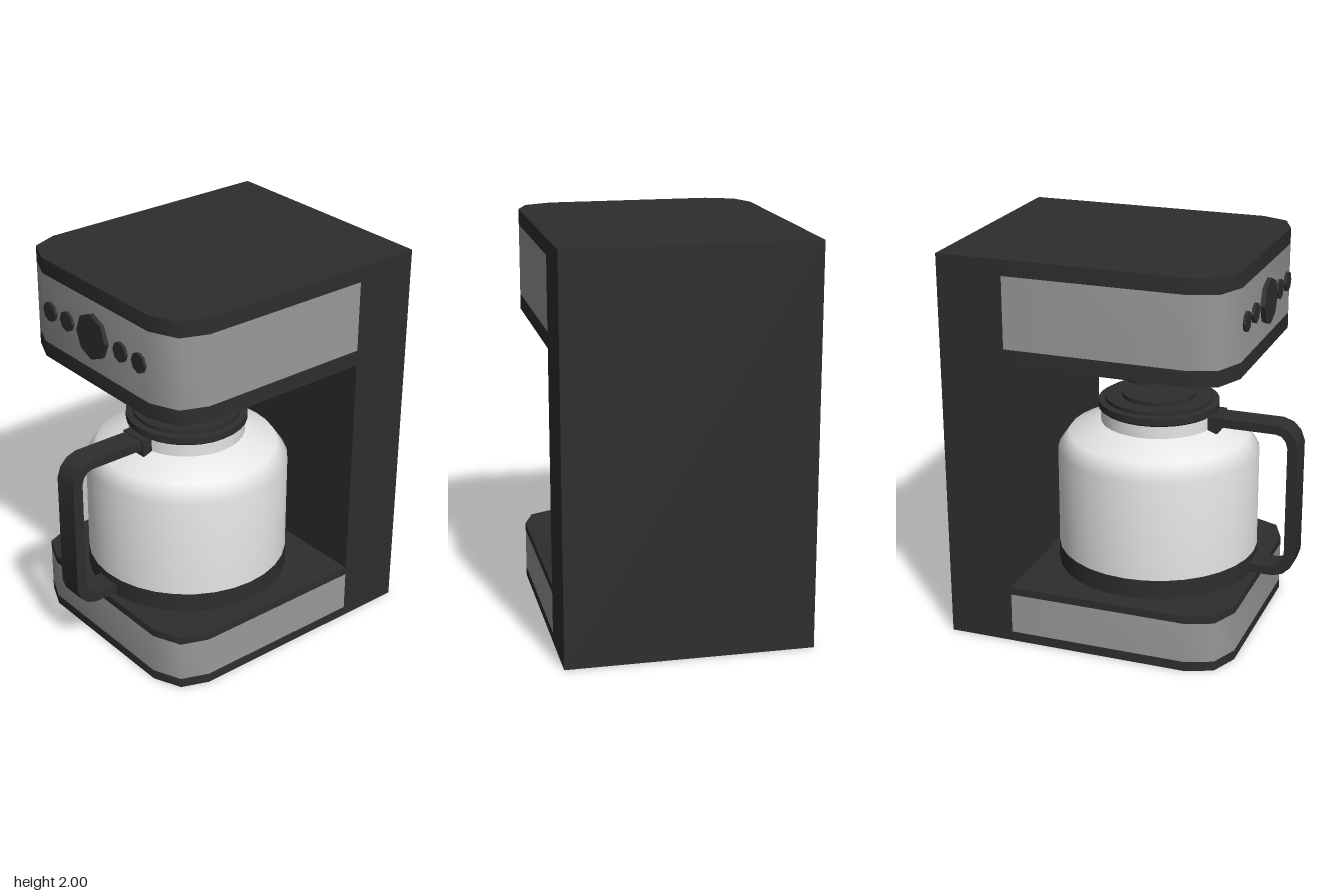
import * as THREE from 'three';
import { toCreasedNormals } from 'three/addons/utils/BufferGeometryUtils.js';

const material = (name, color) => {
  const m = new THREE.MeshStandardMaterial({ color });
  m.name = name;
  return m;
};

export function createModel() {
  const dark = material('black plastic', 0x2e2e2e);
  const steel = material('grey panel', 0x999999);
  const pot = material('white pot', 0xe6e6e6);
  const model = new THREE.Group();
  model.name = 'coffeeMaker';

  const add = (name, geometry, mat, x = 0, y = 0, z = 0, parent = model) => {
    const mesh = new THREE.Mesh(geometry, mat);
    mesh.name = name;
    mesh.position.set(x, y, z);
    parent.add(mesh);
    return mesh;
  };
  const toShape = (pts) => new THREE.Shape(pts.map(([a, b]) => new THREE.Vector2(a, b)));
  const lathe = (pts) => new THREE.LatheGeometry(pts.map(([r, y]) => new THREE.Vector2(r, y)), 32);

  // Rear column holding the head and base
  add('column', new THREE.BoxGeometry(1.23, 2, 0.335), dark, 0, 1, -0.6575);

  // Head and base: stacked layers sharing one footprint with softened front corners
  const side = [[0.615, 0.49], [0.615, -0.43], [0.562, -0.565], [0.42, -0.627]];
  const footprint = toShape([...side, ...side.map(([x, y]) => [-x, y]).reverse()]);
  const layer = (name, y0, y1, mat) => {
    const g = new THREE.ExtrudeGeometry(footprint, { depth: y1 - y0, bevelEnabled: false });
    g.rotateX(-Math.PI / 2);
    add(name, toCreasedNormals(g, 0.9), mat, 0, y0, 0);
  };
  layer('baseBottom', 0, 0.05, dark);
  layer('basePanel', 0.05, 0.26, steel);
  layer('baseTop', 0.26, 0.3, dark);
  layer('headBottom', 1.48, 1.56, dark);
  layer('headPanel', 1.56, 1.92, steel);
  layer('headTop', 1.92, 2, dark);

  // Octagonal dial and push buttons
  const knob = (name, radius, depth, x) => {
    const g = new THREE.CylinderGeometry(radius, radius, depth, 8);
    g.rotateX(Math.PI / 2);
    add(name, toCreasedNormals(g, 0.5), dark, x, 1.742, 0.625 + depth / 2);
  };
  knob('dial', 0.115, 0.025, 0);
  for (const x of [-0.355, -0.213, 0.213, 0.355]) knob('button', 0.051, 0.016, x);

  // Filter holder and drip spout under the head
  add('filterHolder', new THREE.CylinderGeometry(0.387, 0.387, 0.08, 32), dark, 0, 1.44, 0.015);
  add('dripSpout', new THREE.CylinderGeometry(0.104, 0.104, 0.13, 24), dark, 0, 1.335, 0.015);

  // Carafe
  const carafe = new THREE.Group();
  carafe.name = 'carafe';
  carafe.position.z = 0.08;
  model.add(carafe);
  add('carafeFoot', new THREE.CylinderGeometry(0.516, 0.516, 0.1, 32), dark, 0, 0.35, 0, carafe);
  add('carafeBody', lathe([[0.514, 0.4], [0.514, 0.92], [0.458, 1.003], [0.3, 1.065], [0.288, 1.068]]),
    pot, 0, 0, 0, carafe);
  add('carafeNeck', new THREE.CylinderGeometry(0.295, 0.295, 0.07, 32, 1, true), pot, 0, 1.1, 0, carafe);

  // Stepped lid
  const lid = lathe([[0, 1.13], [0.295, 1.13], [0.307, 1.14], [0.307, 1.175], [0.272, 1.178],
    [0.272, 1.196], [0.187, 1.196], [0.187, 1.215], [0, 1.215]]);
  add('lid', toCreasedNormals(lid, 0.6), dark, 0, 0, 0, carafe);

  // Handle: a flat strap bent in the z-y plane, with a clip at the neck
  const strap = toShape([[0.36, 1.13], [0.715, 1.13], [0.768, 1.113], [0.807, 1.073], [0.826, 1.02],
    [0.826, 0.425], [0.807, 0.37], [0.768, 0.332], [0.715, 0.315], [0.54, 0.315],
    [0.54, 0.362], [0.715, 0.362], [0.745, 0.375], [0.765, 0.4], [0.772, 0.43],
    [0.772, 1.015], [0.762, 1.05], [0.74, 1.075], [0.71, 1.083], [0.36, 1.083]]);
  const strapGeometry = new THREE.ExtrudeGeometry(strap, { depth: 0.134, bevelEnabled: false });
  strapGeometry.rotateY(-Math.PI / 2);
  add('handle', toCreasedNormals(strapGeometry, 0.6), dark, 0.067, 0, 0);
  add('handleClip', new THREE.BoxGeometry(0.16, 0.085, 0.06), dark, 0, 1.093, 0.385);

  return model;
}
